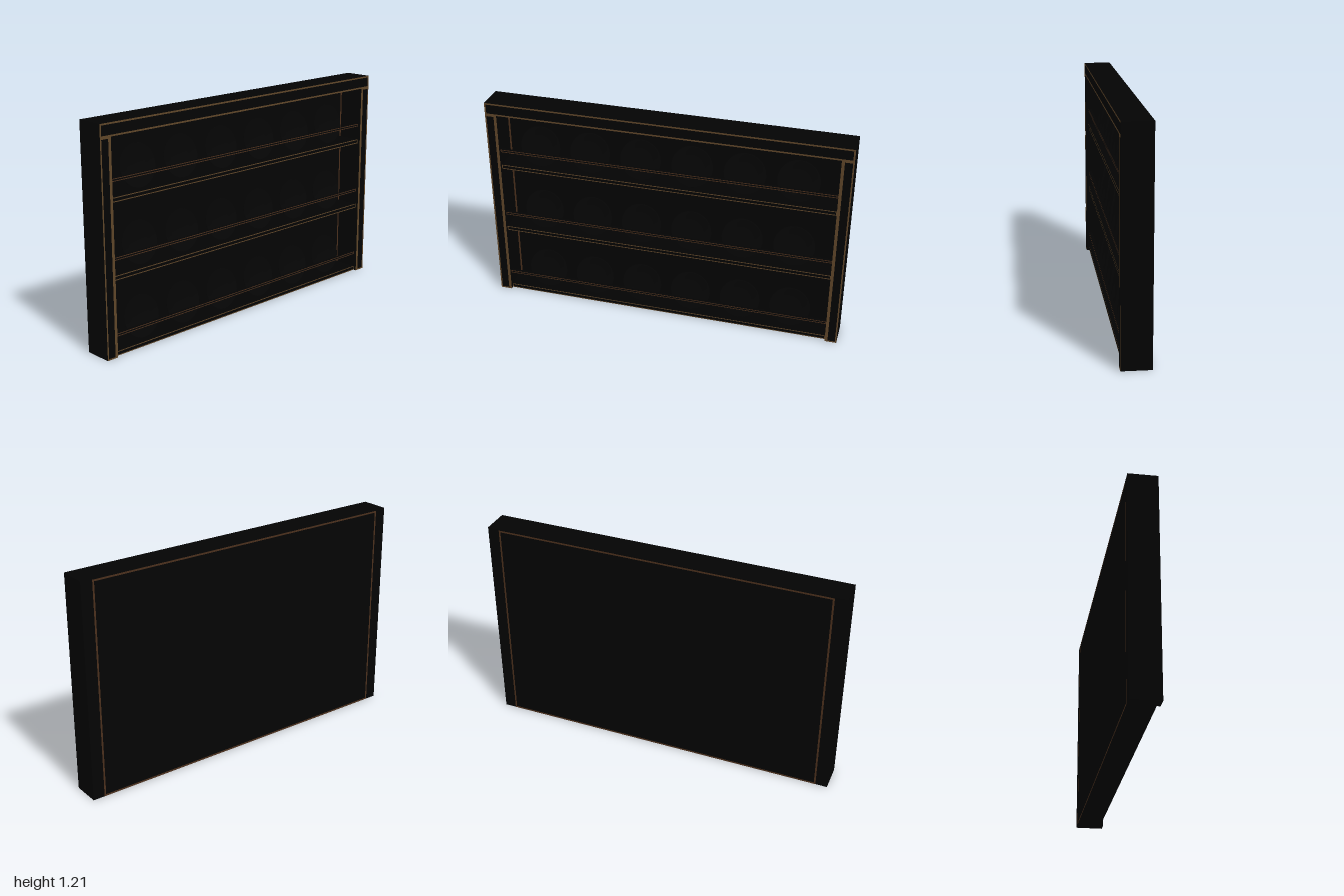
import * as THREE from 'three';

const W = 2, H = 1.21, D = 0.156;
const POST = 0.065, TOP = 0.07;
const INNER = W - 2 * POST;

const darkWood = new THREE.MeshStandardMaterial({ color: 0x030303 });
const gilt = new THREE.MeshStandardMaterial({ color: 0x5e4528 });
const bronze = new THREE.MeshStandardMaterial({ color: 0x4a2f1c });
const plateMat = new THREE.MeshStandardMaterial({ color: 0x050505, side: THREE.DoubleSide });

function add(parent, name, geometry, material, x, y, z) {
  const mesh = new THREE.Mesh(geometry, material);
  mesh.name = name;
  mesh.position.set(x, y, z);
  parent.add(mesh);
  return mesh;
}

// Flat rectangular outline of line width t, facing +z
function outline(w, h, t) {
  const rect = (P, a, b) => {
    const p = new P();
    p.moveTo(-a, -b);
    p.lineTo(a, -b);
    p.lineTo(a, b);
    p.lineTo(-a, b);
    p.closePath();
    return p;
  };
  const s = rect(THREE.Shape, w / 2, h / 2);
  s.holes.push(rect(THREE.Path, w / 2 - t, h / 2 - t));
  return new THREE.ShapeGeometry(s);
}

// Board with worn, lighter edges on its front face
function board(parent, name, w, h, d, x, y, z, t, mat = gilt) {
  const g = new THREE.Group();
  g.name = name;
  g.position.set(x, y, z);
  add(g, name + 'Board', new THREE.BoxGeometry(w, h, d), darkWood, 0, 0, 0);
  add(g, name + 'Edge', outline(w, h, t), mat, 0, 0, d / 2 + 0.0008);
  parent.add(g);
  return g;
}

// Shallow round dish with a raised rim, axis turned to face the front
function plateGeometry() {
  const profile = [[0, 0], [0.06, 0], [0.07, 0.006], [0.113, 0.014],
    [0.115, 0.018], [0.112, 0.019], [0.07, 0.011], [0.058, 0.005], [0, 0.005]]
    .map(([r, y]) => new THREE.Vector2(r, y));
  return new THREE.LatheGeometry(profile, 24).rotateX(Math.PI / 2);
}

export function createModel() {
  const rack = new THREE.Group();
  rack.name = 'plateRack';

  // Frame: top board across two side posts
  board(rack, 'top', W, TOP, D, 0, H - TOP / 2, 0, 0.009);
  for (const s of [-1, 1]) {
    const name = s > 0 ? 'leftPost' : 'rightPost';
    const h = H - TOP;
    const post = board(rack, name, POST, h, D, s * (1 - POST / 2), h / 2, 0, 0.008);
    add(post, name + 'InnerEdge', new THREE.PlaneGeometry(0.016, h), gilt,
      -s * (POST / 2 - 0.008), 0, D / 2 + 0.001);
  }

  // Thin back panel, edged on both faces
  const panel = new THREE.Group();
  panel.name = 'backPanel';
  panel.position.set(0, (H - 0.006) / 2, -D / 2 + 0.003);
  add(panel, 'backSheet', new THREE.BoxGeometry(INNER, H - 0.006, 0.006), darkWood, 0, 0, 0);
  add(panel, 'backEdgeFront', outline(INNER, H - 0.006, 0.01), bronze, 0, 0, 0.0038);
  add(panel, 'backEdgeRear', outline(INNER, H - 0.006, 0.01), bronze, 0, 0, -0.0038).rotation.y = Math.PI;
  rack.add(panel);

  // Three shelves, each with a guard rail and a row of leaning plates
  const plate = plateGeometry();
  const front = 0.06;
  for (let row = 0; row < 3; row++) {
    const y = row * 0.403;
    const depth = front + D / 2 - 0.006;
    board(rack, 'shelf', INNER, 0.025, depth, 0, y + 0.0125, front - depth / 2, 0.005);
    board(rack, 'guardRail', INNER, 0.016, 0.016, 0, y + 0.112, front - 0.008, 0.0045, bronze);
    for (let i = 0; i < 6; i++) {
      const p = add(rack, 'plate', plate, plateMat, (i - 2.5) * 0.287, y + 0.14, -0.01);
      p.rotation.x = -0.2;
    }
  }
  return rack;
}
